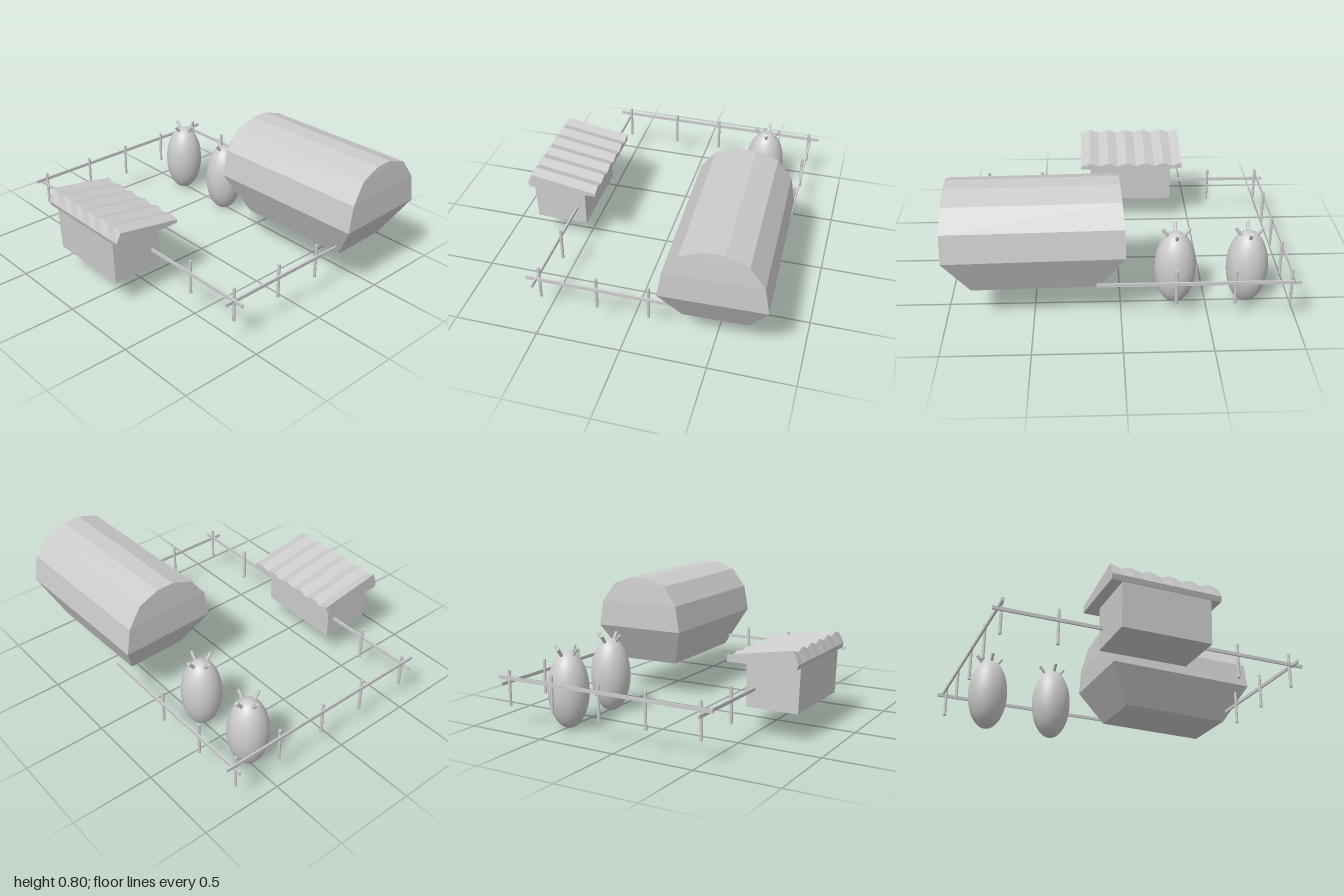
import * as THREE from 'three';

const flat = new THREE.MeshStandardMaterial({ color: 0xcccccc, flatShading: true });
const smooth = new THREE.MeshStandardMaterial({ color: 0xcccccc });

function add(parent, name, geometry, material, x = 0, y = 0, z = 0) {
  const mesh = new THREE.Mesh(geometry, material);
  mesh.name = name;
  mesh.position.set(x, y, z);
  parent.add(mesh);
  return mesh;
}

// Closed solid through convex rings, each counter-clockwise seen from the far end
function loft(rings) {
  const n = rings[0].length, last = (rings.length - 1) * n, index = [];
  for (let i = 0; i < rings.length - 1; i++) {
    for (let j = 0; j < n; j++) {
      const a = i * n + j, b = i * n + (j + 1) % n;
      index.push(a, b, b + n, a, b + n, a + n);
    }
  }
  for (let j = 1; j < n - 1; j++) {
    index.push(0, j + 1, j, last, last + j, last + j + 1);
  }
  const g = new THREE.BufferGeometry();
  g.setAttribute('position', new THREE.Float32BufferAttribute(rings.flat(2), 3));
  g.setIndex(index);
  const out = g.toNonIndexed();
  out.computeVertexNormals();
  return out;
}

const rect = (x0, x1, y, z0, z1) => [[x0, y, z1], [x1, y, z1], [x1, y, z0], [x0, y, z0]];

export function createModel() {
  const model = new THREE.Group();
  model.name = 'farmyard';

  // Large faceted hut, slightly turned: [height, half width, half length]
  const levels = [[0.23, 0.19, 0.36], [0.47, 0.3, 0.5], [0.635, 0.272, 0.498], [0.755, 0.185, 0.488], [0.8, 0.055, 0.483]];
  const hut = add(model, 'barrelHut',
    loft(levels.map(([y, w, l]) => rect(-w, w, y, -l, l))), flat, 0.5, 0, 0.487);
  hut.rotation.y = 0.027;

  // Small shed with a corrugated lean-to roof
  const shed = new THREE.Group();
  shed.name = 'shed';
  model.add(shed);
  add(shed, 'shedBody', loft([rect(-0.8, -0.48, 0.18, -0.37, 0.165), rect(-0.812, -0.48, 0.45, -0.37, 0.165)]), flat);
  const ridges = [];
  for (let i = 0; i <= 11; i++) {
    const z = -0.435 + i * 0.06, dip = i % 2 ? 0.02 : 0;
    ridges.push([[-0.815, 0.445, z], [-0.39, 0.445, z], [-0.39, 0.485 - dip, z], [-0.795, 0.552 - dip, z], [-0.825, 0.475, z]]);
  }
  add(shed, 'shedRoof', loft(ridges), flat);

  // Egg-shaped pots with four splayed pegs on top
  const eggGeometry = new THREE.SphereGeometry(1, 32, 24);
  const pegGeometry = new THREE.CylinderGeometry(0.01, 0.01, 0.065, 8);
  for (const z of [-0.32, -0.74]) {
    const pot = new THREE.Group();
    pot.name = 'eggPot';
    pot.position.set(0.492, 0, z);
    model.add(pot);
    add(pot, 'egg', eggGeometry, smooth, 0, 0.235, 0).scale.set(0.122, 0.23, 0.122);
    for (let k = 0; k < 4; k++) {
      const arm = new THREE.Group();
      arm.name = 'pegArm';
      arm.position.x = 0.006;
      arm.rotation.y = k * Math.PI / 2;
      pot.add(arm);
      add(arm, 'peg', pegGeometry, smooth, 0.06, 0.463, 0).rotation.z = -0.65;
    }
  }

  // Fence posts
  const fence = new THREE.Group();
  fence.name = 'fence';
  model.add(fence);
  const postGeometry = new THREE.CylinderGeometry(0.009, 0.009, 0.215, 10);
  const posts = [
    ...[-0.52, -0.18, 0.125, 0.447, 0.755].map(x => [x, -0.947]),
    ...[-0.52, -0.18, 0.125].map(x => [x, 0.843]),
    [-0.52, -0.625], [-0.52, 0.49], [0.755, -0.635], [0.755, -0.305],
  ];
  for (const [x, z] of posts) add(fence, 'fencePost', postGeometry, smooth, x, 0.258, z);

  // Fence rails
  const railX = (name, x0, x1, y, z) =>
    add(fence, name, new THREE.BoxGeometry(x1 - x0, 0.02, 0.01), flat, (x0 + x1) / 2, y, z);
  const railZ = (name, z0, z1, y, x) =>
    add(fence, name, new THREE.BoxGeometry(0.01, 0.02, z1 - z0), flat, x, y, (z0 + z1) / 2);
  railX('backRail', -0.595, 0.822, 0.32, -0.959);
  railX('frontRail', -0.595, 0.4, 0.292, 0.858);
  railZ('rightRail', -1, 0.925, 0.292, -0.534);
  railZ('leftRail', -1, 0.14, 0.292, 0.767);

  return model;
}
